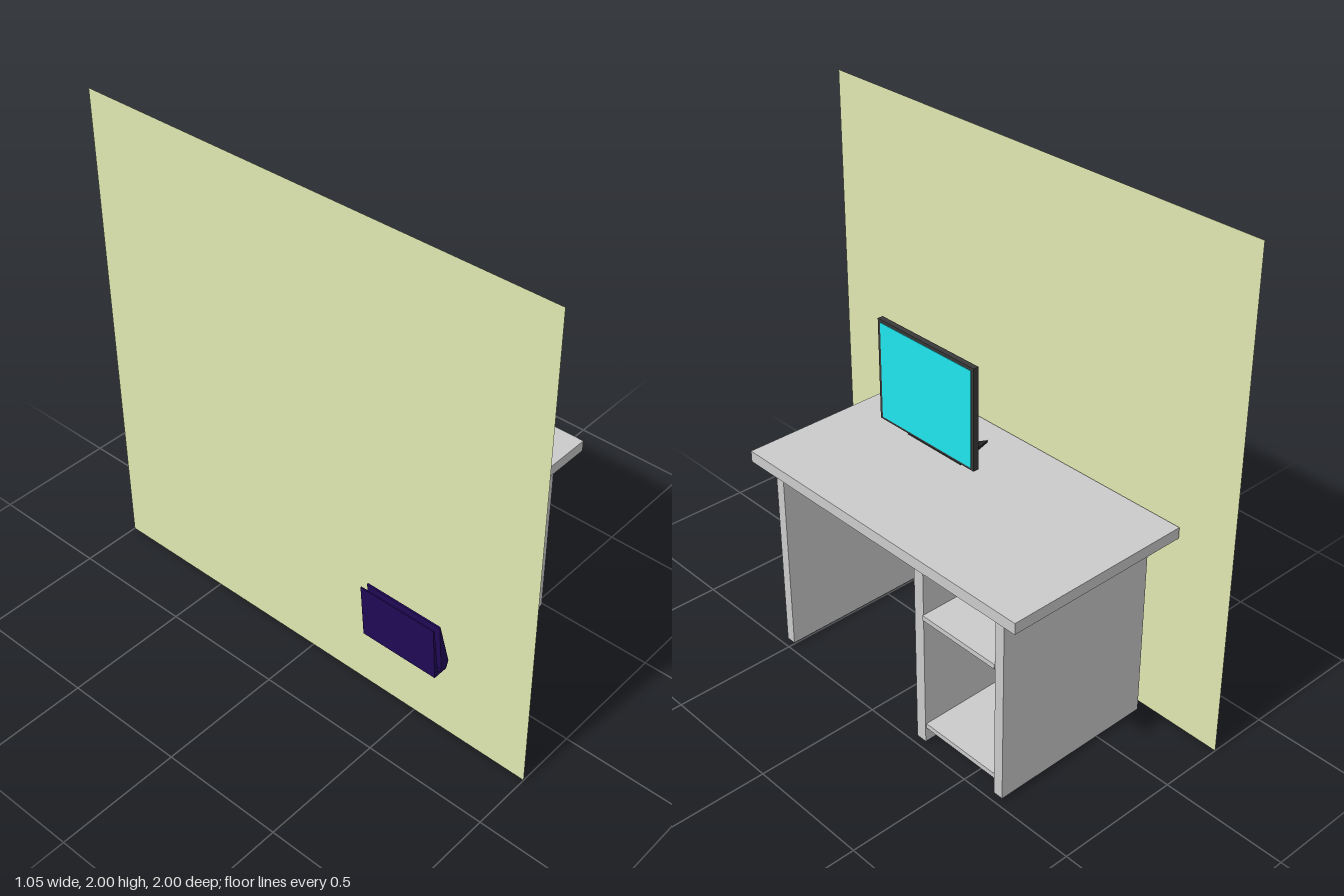
import * as THREE from 'three';

const mat = (color, extra = {}) => new THREE.MeshStandardMaterial({ color, ...extra });

export function createModel() {
  const model = new THREE.Group();
  const grey = mat(0xcccccc), dark = mat(0x3a3a3a), black = mat(0x262626);
  const cyan = mat(0x20e6ee), purple = mat(0x200a58);
  const wallMat = mat(0xe0e8b0, { side: THREE.DoubleSide });

  const add = (name, geometry, material, parent) => {
    const mesh = new THREE.Mesh(geometry, material);
    mesh.name = name;
    parent.add(mesh);
    return mesh;
  };
  const group = (name) => {
    const g = new THREE.Group();
    g.name = name;
    model.add(g);
    return g;
  };
  // Box given by its min and max on each axis
  const box = (name, [x0, x1], [y0, y1], [z0, z1], material, parent) =>
    add(name, new THREE.BoxGeometry(x1 - x0, y1 - y0, z1 - z0)
      .translate((x0 + x1) / 2, (y0 + y1) / 2, (z0 + z1) / 2), material, parent);
  const extrude = (points, depth) => new THREE.ExtrudeGeometry(
    new THREE.Shape(points.map(([x, y]) => new THREE.Vector2(x, y))),
    { depth, bevelEnabled: false });

  // Wall behind the desk
  add('wall', new THREE.PlaneGeometry(2, 2).rotateY(Math.PI / 2).translate(-0.255, 1, 0), wallMat, model);

  // Desk: top, side panels and back panels
  const desk = group('desk');
  const depth = [-0.205, 0.48], back = [-0.205, -0.165];
  box('deskTop', [-0.25, 0.525], [0.805, 0.85], [-0.765, 0.615], grey, desk);
  box('topSupport', [-0.2, 0.49], [0.798, 0.805], [-0.71, 0.575], grey, desk);
  for (const [name, z] of [['leftPanel', [0.49, 0.53]],
    ['cabinetInnerPanel', [-0.275, -0.23]], ['cabinetOuterPanel', [-0.67, -0.63]]]) {
    box(name, depth, [0.015, 0.8], z, grey, desk);
  }
  box('modestyPanel', back, [0.265, 0.8], [-0.23, 0.49], grey, desk);

  // Open cabinet: back and shelves
  const inside = [-0.63, -0.275];
  box('cabinetBack', back, [0.02, 0.8], inside, grey, desk);
  box('upperShelf', [-0.165, 0.484], [0.562, 0.582], inside, grey, desk);
  box('bottomShelf', [-0.165, 0.475], [0.075, 0.095], inside, grey, desk);

  // Monitor: bezel, tapered back, screen
  const monitor = group('monitor');
  const cy = 1.0975, cz = 0.1715;
  box('bezel', [0.045, 0.068], [0.89, 1.305], [-0.081, 0.424], dark, monitor);
  box('screen', [0.06, 0.07], [0.9, 1.293], [-0.067, 0.41], cyan, monitor);
  const shell = new THREE.BoxGeometry(0.045, 0.415, 0.505);
  const p = shell.attributes.position;
  for (let i = 0; i < p.count; i++) {
    if (p.getX(i) < 0) p.setXYZ(i, p.getX(i), p.getY(i) * 0.69, p.getZ(i) * 0.7);
  }
  shell.computeVertexNormals();
  add('monitorBack', shell.translate(0.0225, cy, cz), dark, monitor);

  // Stand: slanted neck and forked foot
  add('neck', extrude([[-0.1, 0.857], [-0.03, 0.857], [0.045, 0.89], [0, 0.957]], 0.17)
    .translate(0, 0, 0.085), black, monitor);
  const foot = [[-0.145, 0.075], [-0.1, 0.1], [-0.1, 0.243], [-0.145, 0.268], [0.03, 0.315], [0.03, 0.028]];
  add('foot', extrude(foot.map(([x, z]) => [x, -z]), 0.01)
    .rotateX(-Math.PI / 2).translate(0, 0.85, 0), black, monitor);

  // Open V-shaped holder on the far side of the wall
  const holder = [[-0.53, 0.795], [-0.514, 0.571], [-0.455, 0.571], [-0.444, 0.6],
    [-0.494, 0.79], [-0.497, 0.785], [-0.481, 0.587], [-0.498, 0.587], [-0.525, 0.795]];
  add('holder', extrude(holder, 0.31).translate(0, 0, 0.48), purple, model);

  return model;
}
